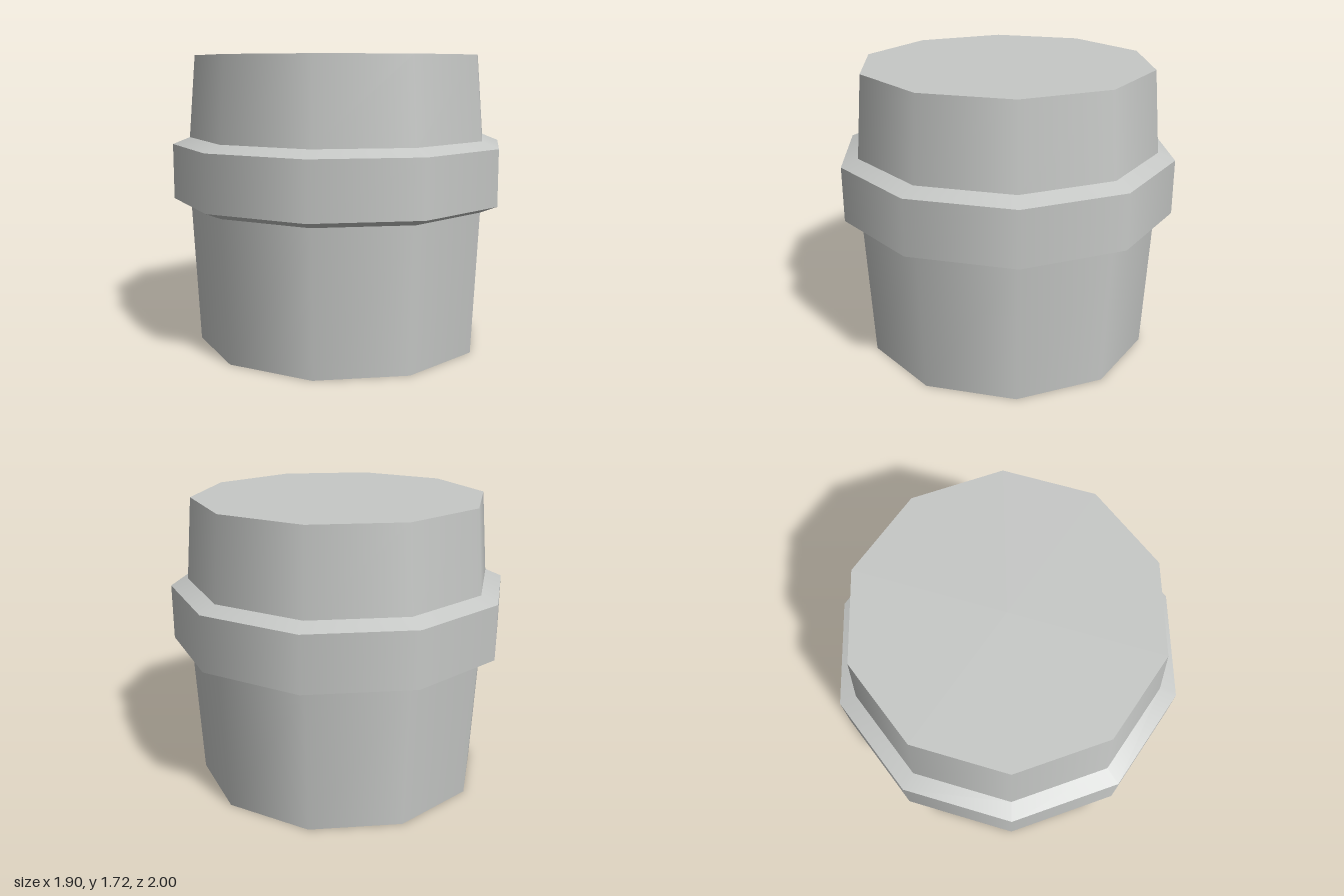
import * as THREE from 'three';

const SIDES = 10;

export function createModel() {
  const model = new THREE.Group();
  model.name = 'bandedDrum';
  const grey = new THREE.MeshStandardMaterial({ color: 0xc6c8c6 });
  grey.name = 'light grey';

  // ten-sided ring between two heights, smooth around, sharp at its rims
  function ring(name, y0, r0, y1, r1) {
    const geometry = new THREE.CylinderGeometry(r1, r0, y1 - y0, SIDES, 1, true);
    const mesh = new THREE.Mesh(geometry, grey);
    mesh.name = name;
    mesh.position.y = (y0 + y1) / 2;
    model.add(mesh);
  }

  // flat ten-sided end, facing up (1) or down (-1)
  function cap(name, y, radius, facing) {
    const geometry = new THREE.CircleGeometry(radius, SIDES, Math.PI / 2);
    geometry.rotateX(-facing * Math.PI / 2);
    const mesh = new THREE.Mesh(geometry, grey);
    mesh.name = name;
    mesh.position.y = y;
    model.add(mesh);
  }

  // vertices of the caps and rings line up on the z axis
  cap('base', 0, 0.86, -1);
  ring('lowerBody', 0, 0.86, 0.835, 0.9);
  ring('bandLowerBevel', 0.835, 0.9, 0.875, 1);
  ring('band', 0.875, 1, 1.2, 1);
  ring('bandUpperBevel', 1.2, 1, 1.24, 0.9);
  ring('upperBody', 1.24, 0.9, 1.72, 0.86);
  cap('lid', 1.72, 0.86, 1);

  return model;
}
